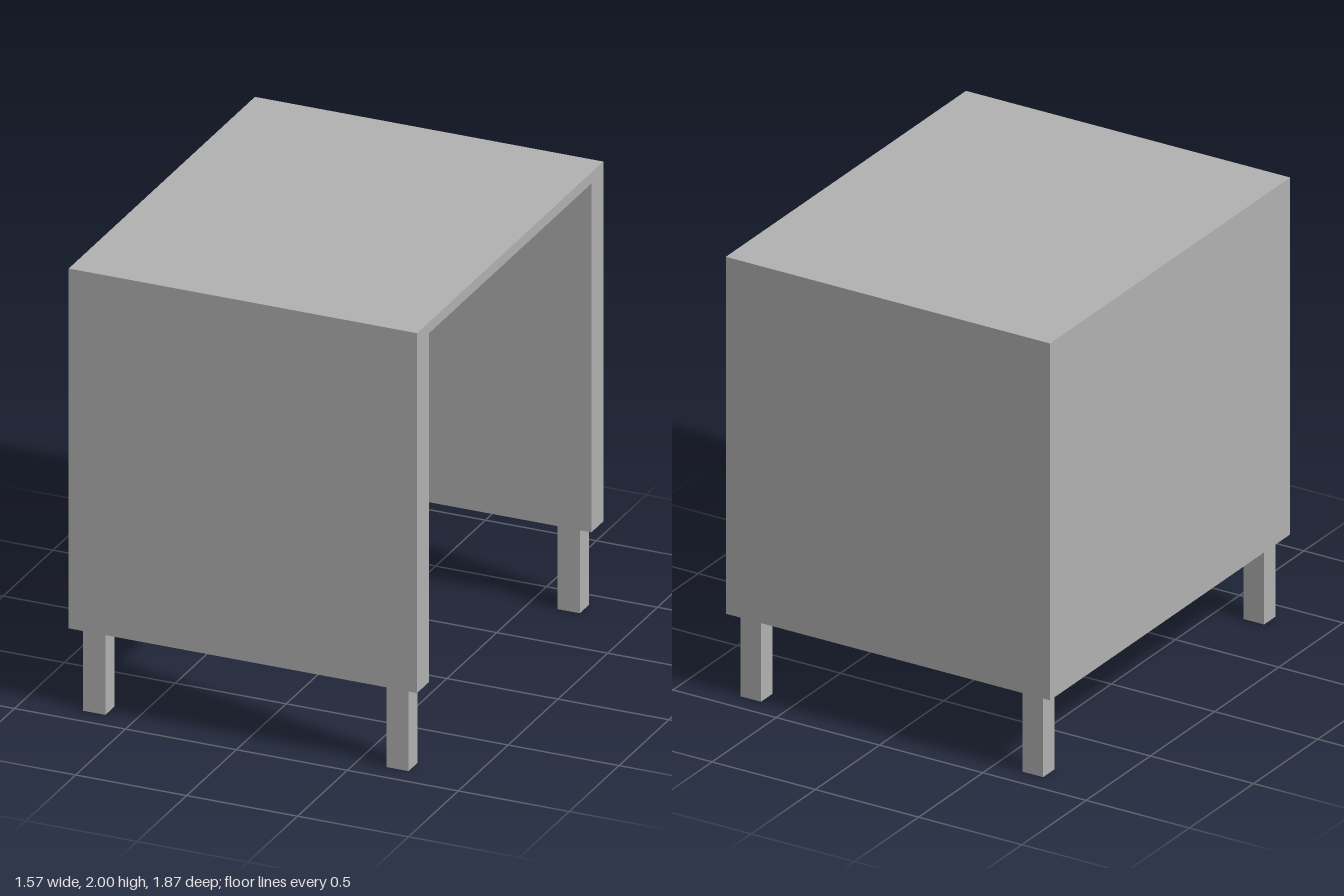
import * as THREE from 'three';

const W = 1.57, D = 1.87, TOP = 2, BASE = 0.375; // outer size of the cabinet
const SIDE = 0.12, THIN = 0.05;                  // panel thicknesses

export function createModel() {
  const model = new THREE.Group();
  model.name = 'openCabinet';
  const grey = new THREE.MeshStandardMaterial({ color: 0xb2b2b2 });
  grey.name = 'grey';

  const add = (name, geometry, x, y, z) => {
    const mesh = new THREE.Mesh(geometry, grey);
    mesh.name = name;
    mesh.position.set(x, y, z);
    model.add(mesh);
  };

  // Front, top and back panels: one arch, open below and at +x
  const o = D / 2, i = o - SIDE;
  const arch = new THREE.Shape([
    [-o, BASE], [-i, BASE], [-i, TOP - THIN], [i, TOP - THIN],
    [i, BASE], [o, BASE], [o, TOP], [-o, TOP],
  ].map(([x, y]) => new THREE.Vector2(x, y)));
  const shell = new THREE.ExtrudeGeometry(arch, { depth: W - THIN, bevelEnabled: false });
  shell.rotateY(Math.PI / 2);
  add('archShell', shell, -W / 2 + THIN, 0, 0);

  // Thin panel closing the -x end
  add('endPanel', new THREE.BoxGeometry(THIN, TOP - BASE, D),
    -W / 2 + THIN / 2, (TOP + BASE) / 2, 0);

  // Four short legs under the front and back panels
  const leg = new THREE.BoxGeometry(0.1, BASE, 0.09);
  for (const sx of [-1, 1]) {
    for (const sz of [-1, 1]) {
      add(`${sz > 0 ? 'front' : 'back'}${sx > 0 ? 'Left' : 'Right'}Leg`, leg,
        sx * 0.683, BASE / 2, sz * 0.86);
    }
  }
  return model;
}
